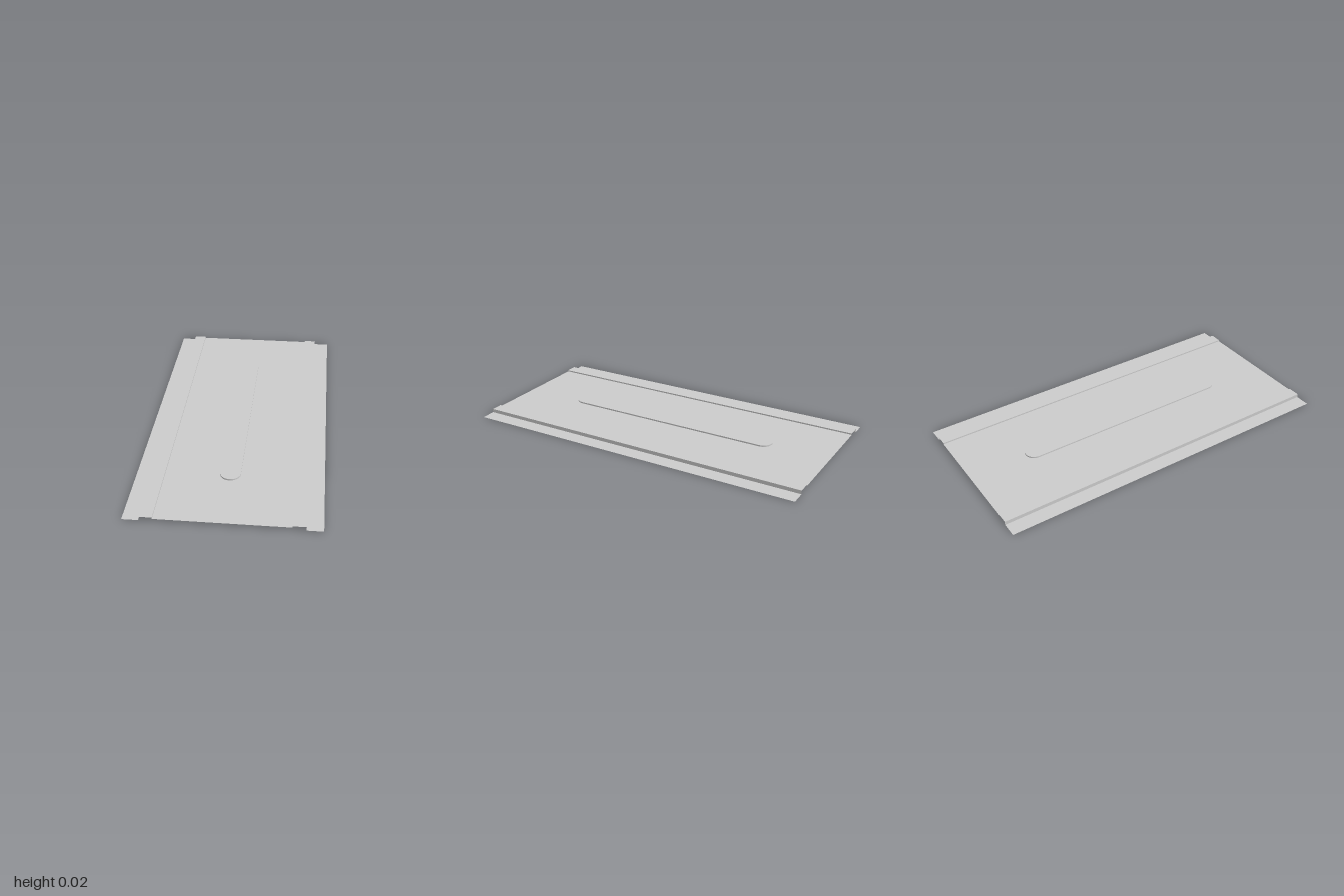
import * as THREE from 'three';

const material = new THREE.MeshStandardMaterial({ color: 0xcccccc, side: THREE.DoubleSide });

const FLOOR = 0, PANEL = 0.013, TOP = 0.021; // sheet levels
const EDGE = 0.5, OUTER = 0.415, INNER = 0.346; // fold positions in x
const SLOT_R = 0.055, SLOT_H = 0.598, SLOT_Z = -0.005;

// Sheet stretched between two matching rows of points
function strip(rowA, rowB, smooth) {
  const n = rowA.length, index = [];
  for (let i = 0; i < n - 1; i++) index.push(i, n + i, i + 1, n + i, n + i + 1, i + 1);
  let geometry = new THREE.BufferGeometry().setFromPoints([...rowA, ...rowB]);
  geometry.setIndex(index);
  if (!smooth) geometry = geometry.toNonIndexed();
  geometry.computeVertexNormals();
  return geometry;
}

// Rounded slot outline, drawn counterclockwise
function slotOutline(Type) {
  const path = new Type();
  path.absarc(0, SLOT_H - SLOT_Z, SLOT_R, 0, Math.PI);
  path.absarc(0, -SLOT_H - SLOT_Z, SLOT_R, Math.PI, 2 * Math.PI);
  path.closePath();
  return path;
}

export function createModel() {
  const group = new THREE.Group();
  const add = (name, geometry) => {
    const mesh = new THREE.Mesh(geometry, material);
    mesh.name = name;
    group.add(mesh);
  };
  const flat = (shape, y) => new THREE.ShapeGeometry(shape, 24).rotateX(-Math.PI / 2).translate(0, y, 0);

  // Main panel with the slot cut out
  const panel = new THREE.Shape([[-INNER, -1], [INNER, -1], [INNER, 1], [-INNER, 1]]
    .map(([x, y]) => new THREE.Vector2(x, y)));
  panel.holes.push(slotOutline(THREE.Path));
  add('mainPanel', flat(panel, PANEL));

  // Raised stiffening bead: top face and its rim
  add('beadTop', flat(slotOutline(THREE.Shape), TOP));
  const rim = slotOutline(THREE.Path).getPoints(24);
  const rimAt = (y) => rim.map((p) => new THREE.Vector3(p.x, y, -p.y));
  add('beadRim', strip(rimAt(TOP), rimAt(PANEL), true));

  // Folded side rails: outer flange, tall wall, ridge, short wall
  const fold = [[-EDGE, FLOOR], [-OUTER, FLOOR], [-OUTER, TOP], [-INNER, TOP], [-INNER, PANEL]];
  const mirrored = fold.map(([x, y]) => [-x, y]).reverse();
  for (const [name, profile] of [['rightRail', fold], ['leftRail', mirrored]]) {
    const rowAt = (z) => profile.map(([x, y]) => new THREE.Vector3(x, y, z));
    add(name, strip(rowAt(-1), rowAt(1), false));
  }
  return group;
}
